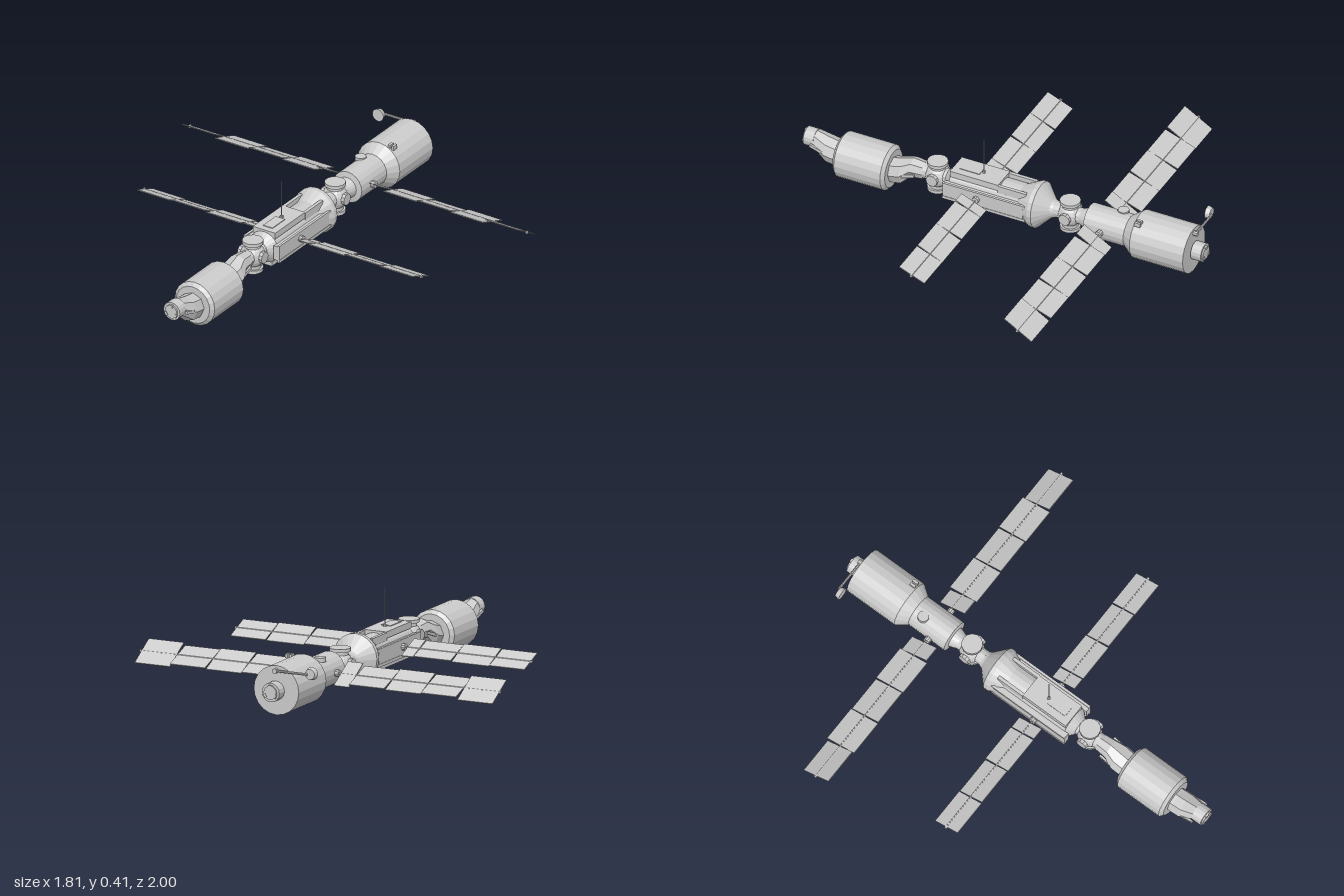
import * as THREE from 'three';

const grey = new THREE.MeshStandardMaterial({ color: 0xcccccc, flatShading: true });
const AXIS = 0.15; // height of the station's main axis

export function createModel() {
  const model = new THREE.Group();
  model.name = 'spaceStation';

  const add = (name, geometry, x = 0, y = 0, z = 0, parent = model) => {
    const mesh = new THREE.Mesh(geometry, grey);
    mesh.name = name;
    mesh.position.set(x, y, z);
    parent.add(mesh);
    return mesh;
  };
  const box = (name, w, h, d, x, y, z, parent) =>
    add(name, new THREE.BoxGeometry(w, h, d), x, y, z, parent);
  const drum = (name, r, h, x, y, z, axis = 'y', sides = 14) => {
    const g = new THREE.CylinderGeometry(r, r, h, sides);
    if (axis === 'x') g.rotateZ(Math.PI / 2);
    if (axis === 'z') g.rotateX(Math.PI / 2);
    return add(name, g, x, y, z);
  };

  // Hull turned around the z axis; sections are [z, radius, centre height], back to front
  const hull = (name, sections, sides = 20) => {
    const g = new THREE.LatheGeometry(sections.map(([z, r]) => new THREE.Vector2(r, z)), sides);
    g.rotateX(Math.PI / 2);
    const p = g.attributes.position;
    for (let i = 0; i < p.count; i++) {
      p.setY(i, p.getY(i) + (sections[i % sections.length][2] ?? AXIS));
    }
    g.computeVertexNormals();
    return add(name, g);
  };

  // Front cargo module with offset necks at both ends
  const low = 0.107;
  hull('cargoHull', [[0.56, 0, low], [0.56, 0.09, low], [0.575, 0.107, low],
    [0.805, 0.107, low], [0.82, 0.09, low], [0.82, 0, low]]);
  hull('frontNeck', [[0.81, 0.06, low], [0.835, 0.062, low], [0.88, 0.062, 0.115],
    [0.945, 0.044], [0.96, 0.042]], 8);
  hull('rearNeck', [[0.4, 0.042], [0.46, 0.048], [0.505, 0.064, 0.118],
    [0.55, 0.062, low], [0.57, 0.06, low]], 8);
  for (const s of [-1, 1]) {
    for (const [z, tilt] of [[0.895, -0.32], [0.49, 0.32]]) {
      const strut = box('neckStrut', 0.01, 0.014, 0.12, s * 0.052, 0.122, z);
      strut.rotation.x = tilt;
    }
  }

  // Docking collars with three guide petals
  for (const [z, dir] of [[0.965, 1], [-0.965, -1]]) {
    drum('dockingCollar', 0.044, 0.05, 0, AXIS, z, 'z', 16);
    drum('dockingRing', 0.032, 0.02, 0, AXIS, z + dir * 0.022, 'z', 16);
    for (let i = 0; i < 3; i++) {
      const a = Math.PI / 2 + i * Math.PI * 2 / 3;
      const petal = box('dockingPetal', 0.012, 0.018, 0.025,
        Math.cos(a) * 0.028, AXIS + Math.sin(a) * 0.028, z + dir * 0.0225);
      petal.rotation.z = a;
    }
  }

  // Spherical docking nodes with ports above, below and on both sides
  for (const z of [0.34, -0.32]) {
    add('nodeSphere', new THREE.SphereGeometry(0.058, 16, 10), 0, AXIS - 0.003, z);
    for (const s of [-1, 1]) {
      drum('verticalPort', 0.038, 0.03, 0, AXIS - 0.003 + s * 0.05, z);
      drum('portCover', 0.048, 0.016, 0, AXIS - 0.003 + s * 0.067, z);
      drum('sidePort', 0.028, 0.024, s * 0.053, AXIS, z, 'x', 10);
    }
    drum('nodeAxle', 0.038, 0.15, 0, AXIS, z, 'z', 12);
  }

  // Core module with a flared rear shoulder
  hull('coreHull', [[-0.27, 0.03, 0.147], [-0.235, 0.045, 0.147], [-0.175, 0.109, 0.147],
    [-0.155, 0.109, 0.147], [-0.09, 0.076, 0.147], [0.25, 0.076, 0.147],
    [0.285, 0.04, 0.147], [0.285, 0, 0.147]]);
  box('roofPanel', 0.12, 0.03, 0.24, 0, 0.217, 0.13);
  box('roofHatch', 0.05, 0.006, 0.1, 0, 0.2325, 0.17);
  box('keelPanel', 0.09, 0.02, 0.36, 0, 0.073, 0.075);
  for (const s of [-1, 1]) {
    box('sideRadiator', 0.03, 0.07, 0.4, s * 0.08, AXIS - 0.005, 0.07);
    box('sideRail', 0.012, 0.014, 0.41, s * 0.091, 0.178, 0.065);
    box('sideRail', 0.012, 0.014, 0.41, s * 0.091, 0.108, 0.065);
    box('roofRail', 0.016, 0.036, 0.14, s * 0.055, 0.211, -0.06);
    drum('wingHub', 0.016, 0.016, s * 0.103, AXIS, 0.1, 'x', 10);
  }
  drum('antennaMast', 0.0025, 0.18, 0, 0.32, 0.11, 'y', 6);
  drum('antennaBase', 0.008, 0.01, 0, 0.236, 0.11, 'y', 8);

  // Rear service module, stepping up to a wide drum
  hull('serviceHull', [[-0.935, 0], [-0.935, 0.113], [-0.67, 0.113], [-0.62, 0.076],
    [-0.42, 0.076], [-0.415, 0.05], [-0.37, 0.034], [-0.37, 0]]);
  drum('roofPort', 0.026, 0.02, -0.03, 0.221, -0.57);
  for (const x of [0.05, 0.07]) box('roofSensor', 0.012, 0.02, 0.028, x, 0.252, -0.69);
  for (const s of [-1, 1]) drum('wingHub', 0.016, 0.025, s * 0.082, AXIS, -0.505, 'x', 10);

  // Dish on a sideways boom
  drum('dishBoom', 0.006, 0.16, -0.08, 0.24, -0.945, 'x', 8);
  drum('dishBoomFoot', 0.012, 0.03, 0, 0.24, -0.94, 'z', 8);
  const dish = add('dish', new THREE.CylinderGeometry(0.03, 0.024, 0.022, 16), -0.17, 0.24, -0.928);
  dish.rotation.x = Math.PI / 2;

  // Solar wings: hinged segments, each pitched a little differently about the spar
  const wing = (side, z, width, edges, pitches) => {
    const group = new THREE.Group();
    group.name = side > 0 ? 'leftSolarWing' : 'rightSolarWing';
    group.position.set(0, AXIS, z);
    const tip = edges[edges.length - 1];
    pitches.forEach((deg, i) => {
      const a = edges[i], b = edges[i + 1];
      const panel = box('solarPanel', b - a - 0.004, 0.004, width, side * (a + b) / 2, 0, 0, group);
      panel.rotation.x = -deg * Math.PI / 180;
    });
    const spar = new THREE.CylinderGeometry(0.004, 0.004, tip - 0.05, 6).rotateZ(Math.PI / 2);
    add('wingSpar', spar, side * (tip + 0.05) / 2, 0, 0, group);
    box('wingTip', 0.008, 0.012, 0.012, side * (tip + 0.002), 0, 0, group);
    model.add(group);
  };
  for (const s of [-1, 1]) {
    wing(s, -0.508, 0.16, [0.1, 0.18, 0.36, 0.54, 0.72, 0.9], [31, 20, 24, 20, 31]);
    wing(s, 0.1, 0.135, [0.118, 0.18, 0.37, 0.56, 0.74], [23, 20, 25, 22]);
  }

  return model;
}
